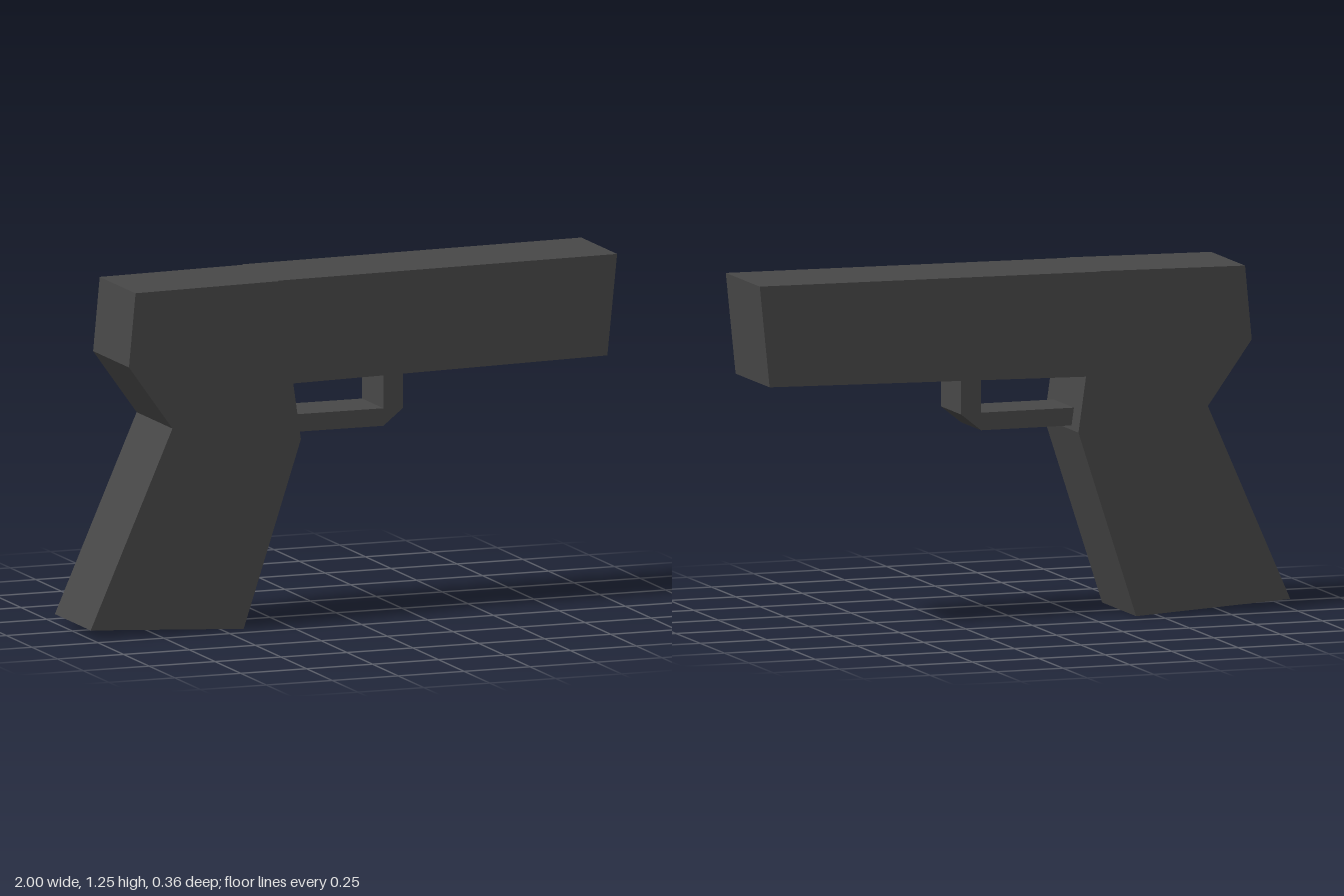
import * as THREE from 'three';

// Solid slab from a side profile (x, y), spanning zBack..zFront
function slab(name, points, zBack, zFront, material) {
  const shape = new THREE.Shape(points.map(([x, y]) => new THREE.Vector2(x, y)));
  const geometry = new THREE.ExtrudeGeometry(shape, { depth: zFront - zBack, bevelEnabled: false });
  geometry.translate(0, 0, zBack);
  const mesh = new THREE.Mesh(geometry, material);
  mesh.name = name;
  return mesh;
}

export function createModel() {
  const group = new THREE.Group();
  group.name = 'blockyPistol';
  const darkGrey = new THREE.MeshStandardMaterial({ color: 0x484848 });
  darkGrey.name = 'darkGrey';

  // Slanted handle with the rear of the frame
  group.add(slab('grip', [
    [-1, 0.035], [-0.42, 0.003], [-0.203, 0.67], [-0.285, 1.243],
    [-0.83, 1.235], [-0.855, 0.97], [-0.69, 0.74],
  ], -0.17, 0.18, darkGrey));

  // Long barrel block, set slightly back from the grip's front side
  group.add(slab('barrel', [
    [-0.232, 0.87], [0.963, 0.893], [1, 1.255], [-0.285, 1.243],
  ], -0.18, 0.17, darkGrey));

  // Narrow L-shaped trigger guard with a chamfered corner
  group.add(slab('triggerGuard', [
    [-0.208, 0.685], [0.135, 0.685], [0.21, 0.745], [0.21, 0.879],
    [0.135, 0.877], [0.135, 0.748], [-0.215, 0.748],
  ], -0.093, 0.115, darkGrey));

  return group;
}
